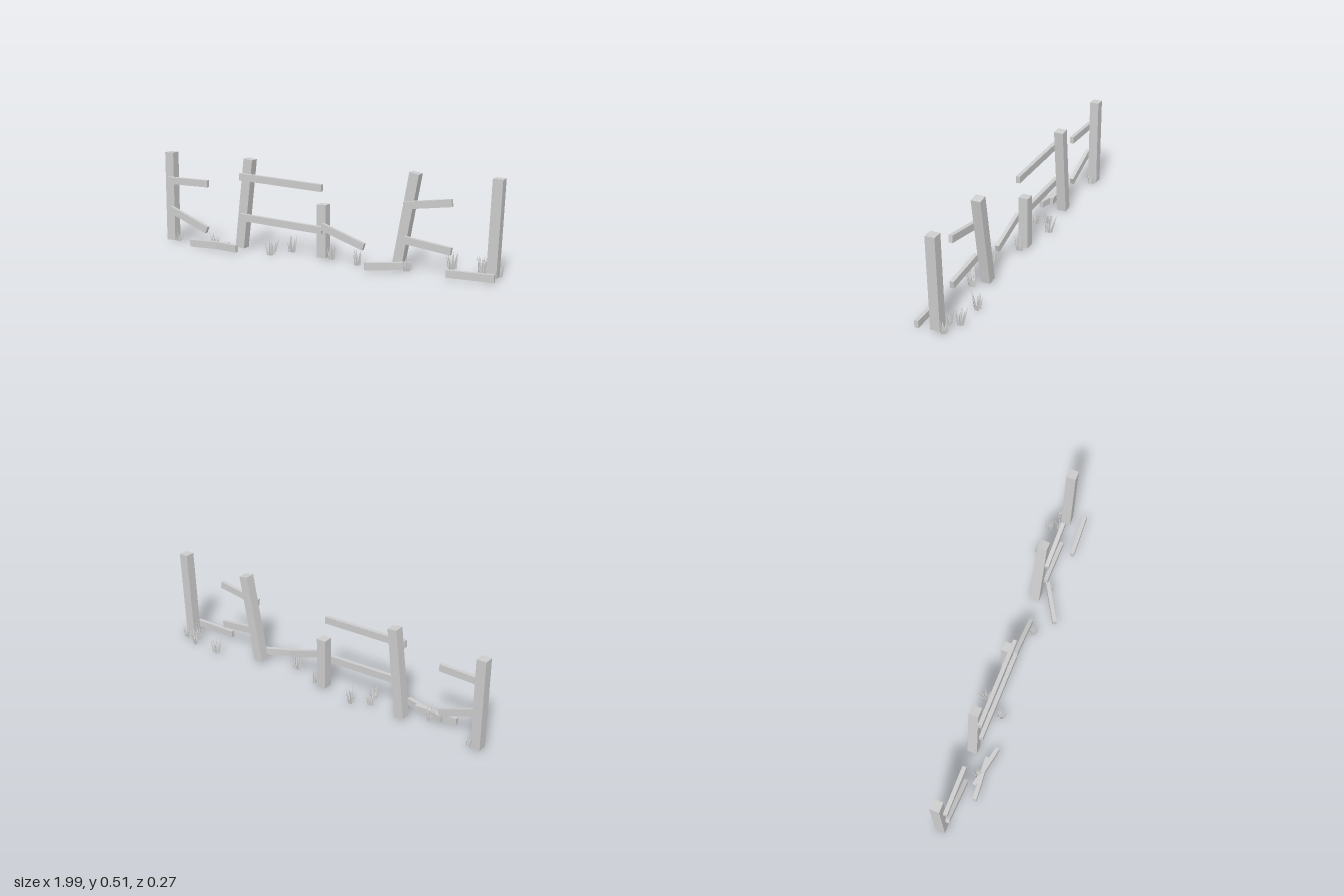
import * as THREE from 'three';

const grey = new THREE.MeshStandardMaterial({ color: 0xcccccc, flatShading: true });
grey.name = 'plain grey';

// Box whose long axis runs between two points in the x-y plane or along the ground
function beam(name, a, b, height, depth) {
  const start = new THREE.Vector3(...a), end = new THREE.Vector3(...b);
  const dir = end.clone().sub(start);
  const mesh = new THREE.Mesh(new THREE.BoxGeometry(dir.length(), height, depth), grey);
  mesh.position.copy(start).add(end).multiplyScalar(0.5);
  mesh.quaternion.setFromUnitVectors(new THREE.Vector3(1, 0, 0), dir.normalize());
  mesh.name = name;
  return mesh;
}

// Small seeded generator for the grass
function seeded(seed) {
  return () => {
    seed = (seed * 16807) % 2147483647;
    return seed / 2147483647;
  };
}

// Clump of thin pointed blades fanning outwards
function grassClump(x, z, height, seed) {
  const rand = seeded(seed);
  const clump = new THREE.Group();
  clump.name = 'grassClump';
  const count = 7;
  for (let i = 0; i < count; i++) {
    const h = height * (0.55 + 0.45 * rand());
    const geo = new THREE.ConeGeometry(0.007, h, 4);
    geo.translate(0, h / 2, 0);
    const blade = new THREE.Mesh(geo, grey);
    blade.name = 'grassBlade';
    const angle = (i / count) * Math.PI * 2 + rand() * 0.7;
    const r = 0.006 + 0.011 * rand();
    const lean = 0.08 + 0.25 * rand();
    blade.position.set(Math.cos(angle) * r, 0.002, Math.sin(angle) * r);
    blade.rotation.set(Math.sin(angle) * lean, 0, -Math.cos(angle) * lean);
    clump.add(blade);
  }
  clump.position.set(x, 0, z);
  return clump;
}

export function createModel() {
  const model = new THREE.Group();
  model.name = 'brokenFence';

  // Posts: bottom x, bottom y, top x, top y
  const postZ = -0.0215;
  [
    [-0.972, 0.006, -0.972, 0.512],
    [-0.516, 0.009, -0.457, 0.508],
    [-0.009, 0.006, -0.009, 0.295],
    [0.432, 0.011, 0.523, 0.506],
    [0.947, 0.007, 0.968, 0.511],
  ].forEach(([x0, y0, x1, y1]) =>
    model.add(beam('post', [x0, y0, postZ], [x1, y1, postZ], 0.054, 0.053)));

  // Rails still nailed to the posts
  const railZ = 0.016;
  [
    [-0.973, 0.355, -0.71, 0.355],
    [-0.964, 0.189, -0.719, 0.091],
    [-0.5, 0.412, 0.003, 0.389],
    [-0.5, 0.187, 0.003, 0.16],
    [0.003, 0.182, 0.25, 0.096],
    [0.476, 0.339, 0.737, 0.374],
    [0.478, 0.158, 0.737, 0.124],
  ].forEach(([x0, y0, x1, y1]) =>
    model.add(beam('rail', [x0, y0, railZ], [x1, y1, railZ], 0.039, 0.022)));

  // Rails fallen on the ground: x and z of each end
  [
    [-0.783, 0.087, -0.545, 0.067],
    [-0.71, 0.056, -0.478, 0.101],
    [0.311, 0.134, 0.525, 0.014],
    [0.737, 0.083, 0.988, 0.072],
  ].forEach(([x0, z0, x1, z1]) =>
    model.add(beam('fallenRail', [x0, 0.025, z0], [x1, 0.025, z1], 0.039, 0.022)));

  // Grass: x, z, height
  [
    [-0.935, -0.025, 0.085], [-0.645, 0.045, 0.105], [-0.315, -0.018, 0.08],
    [-0.222, -0.065, 0.105], [-0.293, 0.05, 0.08], [0.05, -0.015, 0.1],
    [0.222, 0.038, 0.095], [0.503, 0.035, 0.085], [0.702, -0.1, 0.105],
    [0.862, -0.1, 0.095], [0.883, -0.045, 0.095], [0.96, -0.062, 0.08],
  ].forEach(([x, z, h], i) => model.add(grassClump(x, z, h, 7919 * (i + 3))));

  return model;
}
